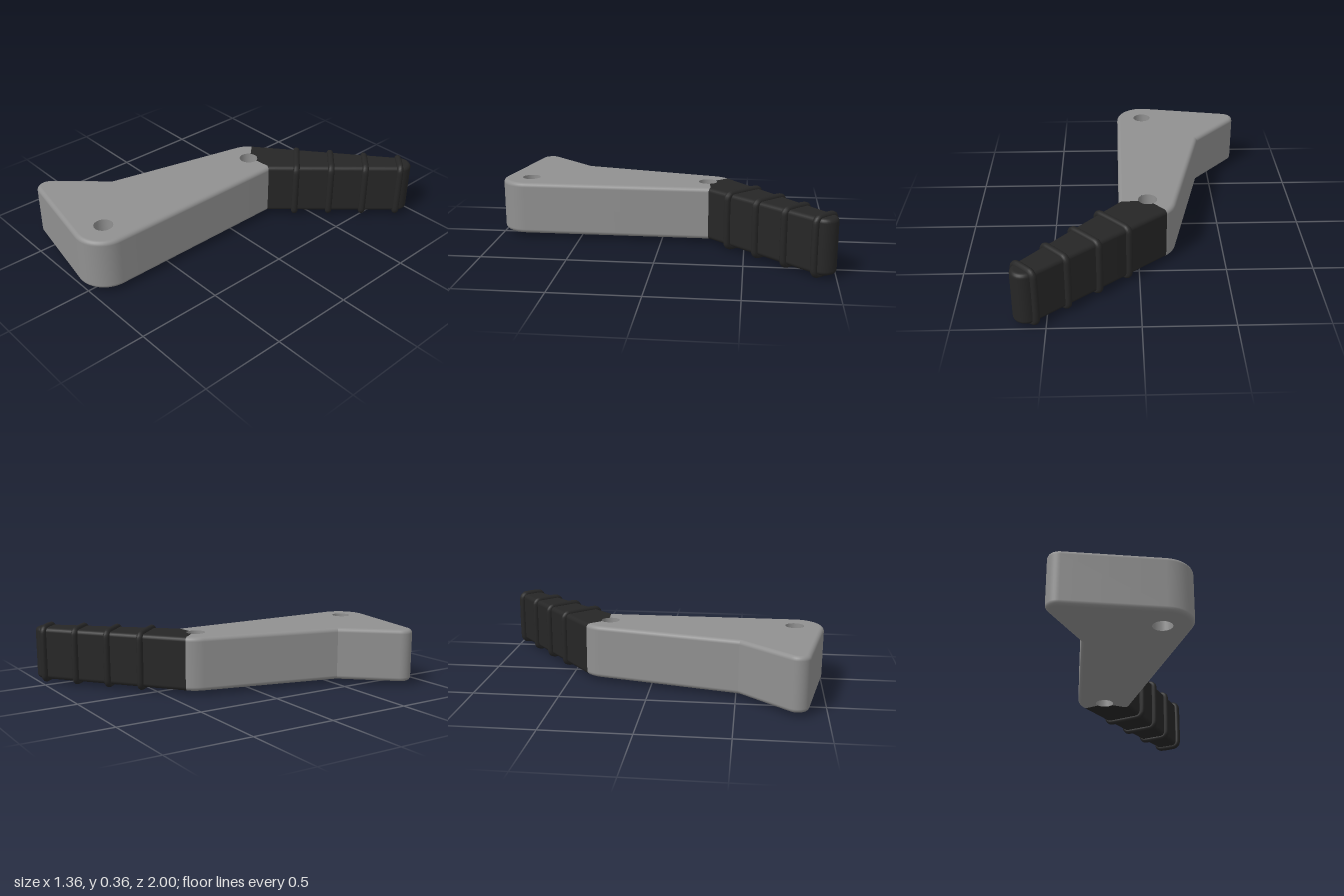
import * as THREE from 'three';

const Y0 = 0.023, Y1 = 0.34, BEVEL = 0.025, STEPS = 5;
const HOLES = [[-0.055, -0.27], [-0.055, 0.83]], HOLE_R = 0.055;
const V = (x, z) => new THREE.Vector2(x, z); // plan point: x, z

// points on a plan arc, angle measured from +x towards +z
function arc(cx, cz, r, a0, a1, n = 14) {
  return Array.from({ length: n + 1 }, (_, i) => {
    const a = a0 + (a1 - a0) * i / n;
    return V(cx + r * Math.cos(a), cz + r * Math.sin(a));
  });
}

// one continuous plan outline: grip tip, junction, then the body
const tip = arc(0.605, -0.93, 0.071, 4.027, 7.02);
const outline = [
  ...tip,
  V(0.113, -0.283),
  ...arc(-0.055, 0.833, 0.167, 0, 1.752),
  ...arc(-0.61, 0.833, 0.067, 1.752, 3.897),
  V(-0.41, 0.513),
  ...arc(-0.055, -0.272, 0.165, 3.366, 4.027),
];
const N = outline.length, JOIN = tip.length;
const at = i => outline[(i + N) % N];

// outward normal of the edge that starts at point i
function edgeNormal(i) {
  const d = at(i + 1).clone().sub(at(i)).normalize();
  return V(d.y, -d.x);
}

// mitred inset direction, and shading normal that keeps corners sharp
function miter(i) {
  const a = edgeNormal(i - 1), b = edgeNormal(i);
  return a.clone().add(b).divideScalar(1 + a.dot(b));
}
function shadeNormal(i, edge) {
  const a = edgeNormal(i - 1), b = edgeNormal(i);
  return a.dot(b) > 0.9 ? a.add(b).normalize() : edgeNormal(edge);
}

// rounded edge profile from the bottom face to the top face
const profile = [];
for (const side of [-1, 1]) {
  for (let k = 0; k <= STEPS; k++) {
    const t = (side < 0 ? STEPS - k : k) / STEPS * Math.PI / 2;
    const s = side * Math.sin(t), c = Math.cos(t);
    profile.push({
      inset: BEVEL * (1 - c), c, s,
      y: (side < 0 ? Y0 + BEVEL : Y1 - BEVEL) + BEVEL * s,
    });
  }
}

// slab over outline points from..to, closed by a seam, with flat caps
function slab(from, to, seam, holes) {
  const pos = [], nor = [];
  const wallVertex = (i, edge, l) => {
    const p = at(i).clone().addScaledVector(miter(i), -l.inset);
    const n = shadeNormal(i, edge);
    pos.push(p.x, l.y, p.y);
    nor.push(n.x * l.c, l.s, n.y * l.c);
  };
  for (let i = from; i < to; i++) {
    for (let k = 0; k < profile.length - 1; k++) {
      const lo = profile[k], hi = profile[k + 1];
      for (const [j, l] of [[i, lo], [i, hi], [i + 1, hi], [i, lo], [i + 1, hi], [i + 1, lo]]) {
        wallVertex(j, i, l);
      }
    }
  }
  const contour = [];
  for (let i = from; i <= to; i++) contour.push(at(i).clone().addScaledVector(miter(i), -BEVEL));
  contour.push(...seam);
  const pts = [contour, ...holes].flat();
  for (const f of THREE.ShapeUtils.triangulateShape(contour, holes)) {
    let [a, b, c] = f.map(i => pts[i]);
    if ((b.y - a.y) * (c.x - a.x) - (b.x - a.x) * (c.y - a.y) < 0) [b, c] = [c, b];
    for (const p of [a, b, c]) { pos.push(p.x, Y1, p.y); nor.push(0, 1, 0); }
    for (const p of [a, c, b]) { pos.push(p.x, Y0, p.y); nor.push(0, -1, 0); }
  }
  const g = new THREE.BufferGeometry();
  g.setAttribute('position', new THREE.Float32BufferAttribute(pos, 3));
  g.setAttribute('normal', new THREE.Float32BufferAttribute(nor, 3));
  return g;
}

// rounded-rectangle band around the grip, between two plan points
function bandGeometry([ax, az], [bx, bz]) {
  const r = 0.02, corner = 0.03;
  const dir = V(bx - ax, bz - az), w = dir.length() / 2 - r, h = 0.158;
  dir.normalize();
  const pts = [];
  [[1, 1], [-1, 1], [-1, -1], [1, -1]].forEach(([sx, sy], q) => {
    for (let k = 0; k <= 4; k++) {
      const a = (q + k / 4) * Math.PI / 2;
      const u = sx * (w - corner) + corner * Math.cos(a);
      const v = sy * (h - corner) + corner * Math.sin(a);
      pts.push(new THREE.Vector3((ax + bx) / 2 + dir.x * u, 0.18 + v, (az + bz) / 2 + dir.y * u));
    }
  });
  return new THREE.TubeGeometry(new THREE.CatmullRomCurve3(pts, true), 120, r, 10, true);
}

export function createModel() {
  const group = new THREE.Group();
  const grey = new THREE.MeshStandardMaterial({ color: 0x909090 });
  const black = new THREE.MeshStandardMaterial({ color: 0x262626 });
  const bore = new THREE.MeshStandardMaterial({ color: 0x909090, side: THREE.BackSide });
  const add = (name, geometry, material) => {
    const mesh = new THREE.Mesh(geometry, material);
    mesh.name = name;
    group.add(mesh);
    return mesh;
  };

  // body and grip meet along a seam that passes around the upper hole
  const [hx, hz] = HOLES[0];
  const bodySeam = arc(hx, hz, HOLE_R, 4.14, -0.267, 24);
  const gripSeam = arc(hx, hz, HOLE_R, 6.016, 4.14, 12);
  const lowerHole = arc(...HOLES[1], HOLE_R, 0, Math.PI * 2 * 31 / 32, 31);
  add('body', slab(JOIN, N - 1, bodySeam, [lowerHole]), grey);
  add('grip', slab(-1, JOIN, gripSeam, []), black);

  // bolt hole walls
  for (const [x, z] of HOLES) {
    const g = new THREE.CylinderGeometry(HOLE_R, HOLE_R, Y1 - Y0, 32, 1, true);
    add('boltHole', g, bore).position.set(x, (Y0 + Y1) / 2, z);
  }

  // raised bands on the grip
  const bands = [
    [[0.045, -0.595], [0.25, -0.385]],
    [[0.208, -0.73], [0.39, -0.547]],
    [[0.373, -0.862], [0.53, -0.703]],
    [[0.535, -0.995], [0.672, -0.862]],
  ];
  for (const [a, b] of bands) add('gripBand', bandGeometry(a, b), black);
  return group;
}
